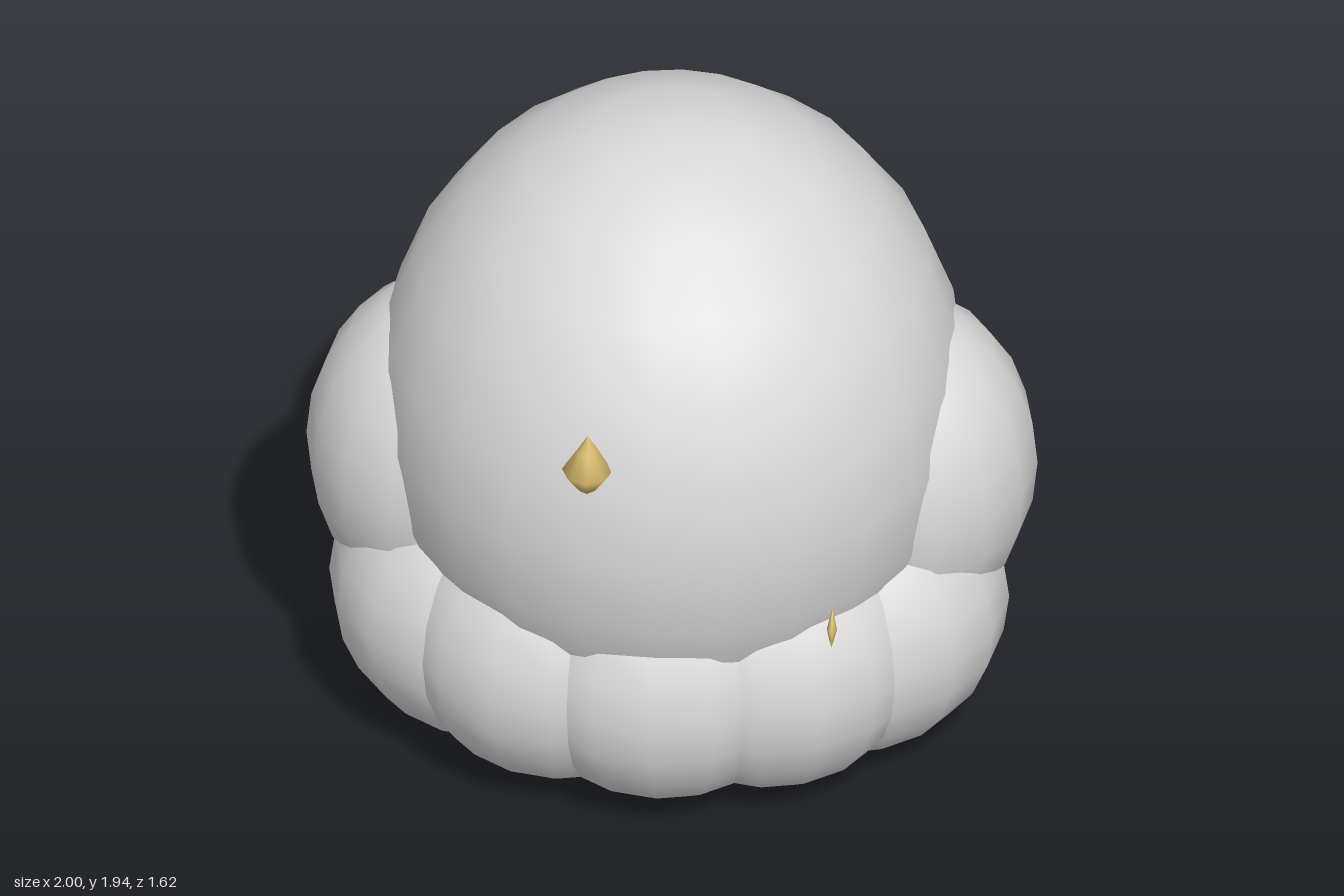
import * as THREE from 'three';

export function createModel() {
  const model = new THREE.Group();
  const shell = new THREE.MeshStandardMaterial({ name: 'pale grey', color: 0xd9d9d9 });
  const gold = new THREE.MeshStandardMaterial({ name: 'gold', color: 0xd4b76a });

  const add = (name, geometry, material, position, scale = [1, 1, 1], rotation = [0, 0, 0]) => {
    const mesh = new THREE.Mesh(geometry, material);
    mesh.name = name;
    mesh.position.set(...position);
    mesh.scale.set(...scale);
    mesh.rotation.set(...rotation);
    model.add(mesh);
  };

  // Tall domed body and the wide lobe behind it
  const fineSphere = new THREE.SphereGeometry(1, 24, 12);
  const lobeSphere = new THREE.SphereGeometry(1, 16, 12);
  add('body', fineSphere, shell, [0, 1.02, 0], [0.81, 0.92, 0.81]);
  add('backLobe', lobeSphere, shell, [0, 0.45, -0.39], [0.61, 0.44, 0.42]);

  // Row of round lobes wrapping the front, and the tall side lobes
  add('frontLobe', lobeSphere, shell, [0, 0.45, 0.35], [0.45, 0.45, 0.45]);
  for (const [side, s] of [['left', 1], ['right', -1]]) {
    add(side + 'FrontLobe', lobeSphere, shell, [0.28 * s, 0.45, 0.28], [0.45, 0.45, 0.45]);
    add(side + 'CornerLobe', lobeSphere, shell, [0.48 * s, 0.45, 0.11], [0.45, 0.45, 0.45]);
    add(side + 'SideLobe', lobeSphere, shell, [0.6 * s, 0.83, 0], [0.4, 0.46 * 1.1, 0.4]);
  }

  // Small double-pointed crystals set into the surface
  const profile = [[0, -0.1], [0.035, -0.055], [0.07, -0.005], [0.03, 0.06], [0, 0.11]];
  const crystal = new THREE.LatheGeometry(profile.map(([x, y]) => new THREE.Vector2(x, y)), 8);
  add('frontCrystal', crystal, gold, [-0.18, 1.31, 0.74]);
  add('backCrystal', crystal, gold, [-0.18, 1.31, -0.745]);
  add('rearLeftCrystal', crystal, gold, [0.48, 0.97, -0.645], [0.55, 0.55, 0.55], [0, 0.6, Math.PI / 2]);
  add('rearRightCrystal', crystal, gold, [-0.66, 0.58, -0.33], [0.8, 0.75, 0.8]);
  add('frontLeftCrystal', crystal, gold, [0.48, 0.7, 0.615], [0.2, 0.55, 0.4], [-0.4, 0, 0]);

  return model;
}
